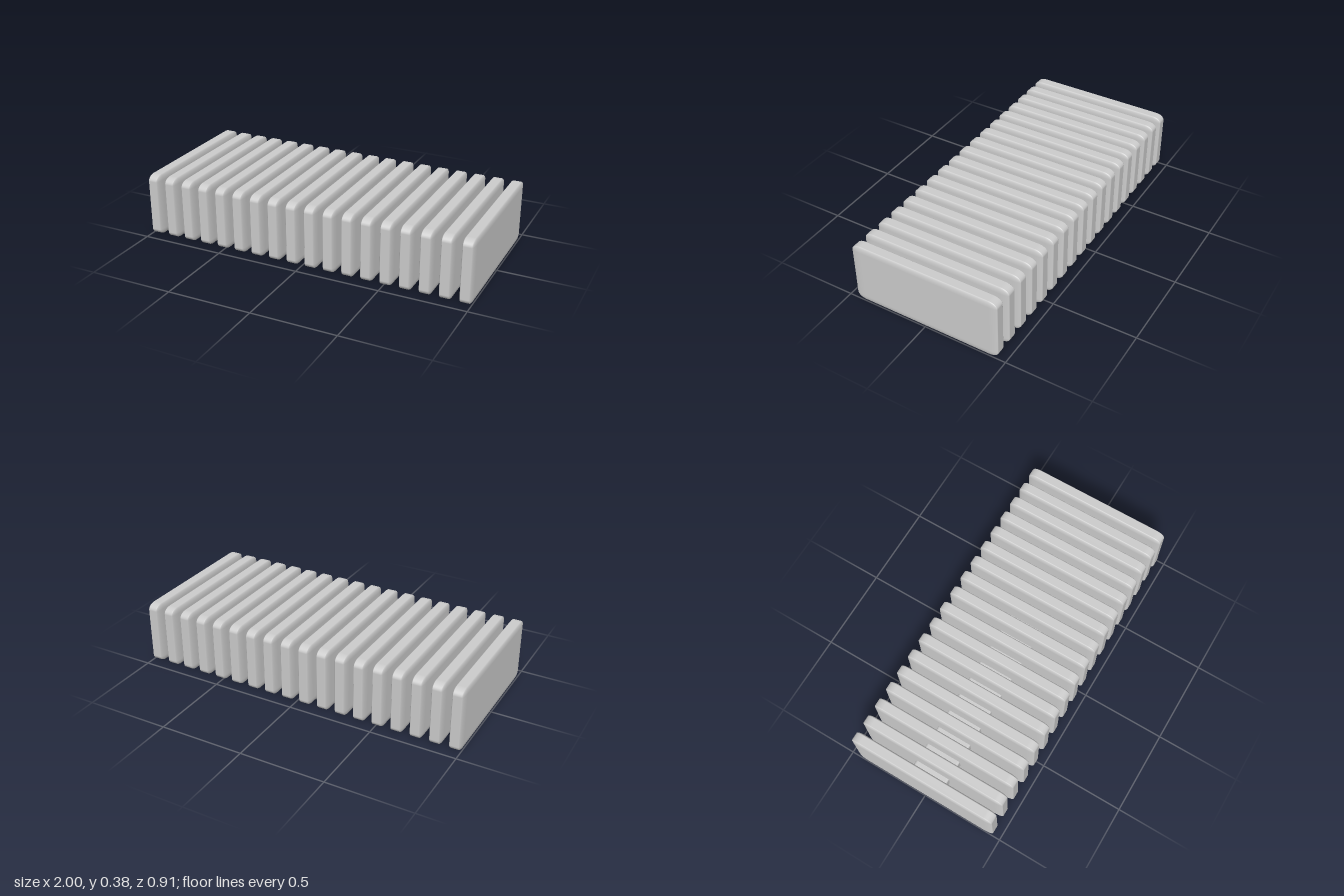
import * as THREE from 'three';
import { RoundedBoxGeometry } from 'three/addons/geometries/RoundedBoxGeometry.js';

const COUNT = 18;
const PLATE = { size: [0.07, 0.376, 0.905], radii: [0.012, 0.036, 0.055] };
const LINK = { size: [0.07, 0.092, 0.215], radii: [0.011, 0.01, 0.014] };
const CENTER_Y = 0.19;

// Box with a different rounding radius along each axis
function softBox({ size, radii }) {
  const [w, h, d] = size.map((s, i) => s / radii[i]);
  return new RoundedBoxGeometry(w, h, d, 4, 1).scale(...radii);
}

export function createModel() {
  const model = new THREE.Group();
  model.name = 'finStack';
  const material = new THREE.MeshStandardMaterial({ color: 0xcccccc });
  const plateGeometry = softBox(PLATE);
  const linkGeometry = softBox(LINK);
  const width = PLATE.size[0];
  const pitch = (2 - width) / (COUNT - 1);

  const add = (name, geometry, x) => {
    const mesh = new THREE.Mesh(geometry, material);
    mesh.name = name;
    mesh.position.set(x, CENTER_Y, 0);
    model.add(mesh);
  };

  for (let i = 0; i < COUNT; i++) {
    const x = -1 + width / 2 + i * pitch;
    // Upright fin
    add(`plate${i + 1}`, plateGeometry, x);
    // Small spacer block, sunk into the next fin
    if (i < COUNT - 1) add(`spacer${i + 1}`, linkGeometry, x + width / 2 + 0.004 + LINK.size[0] / 2);
  }
  return model;
}
